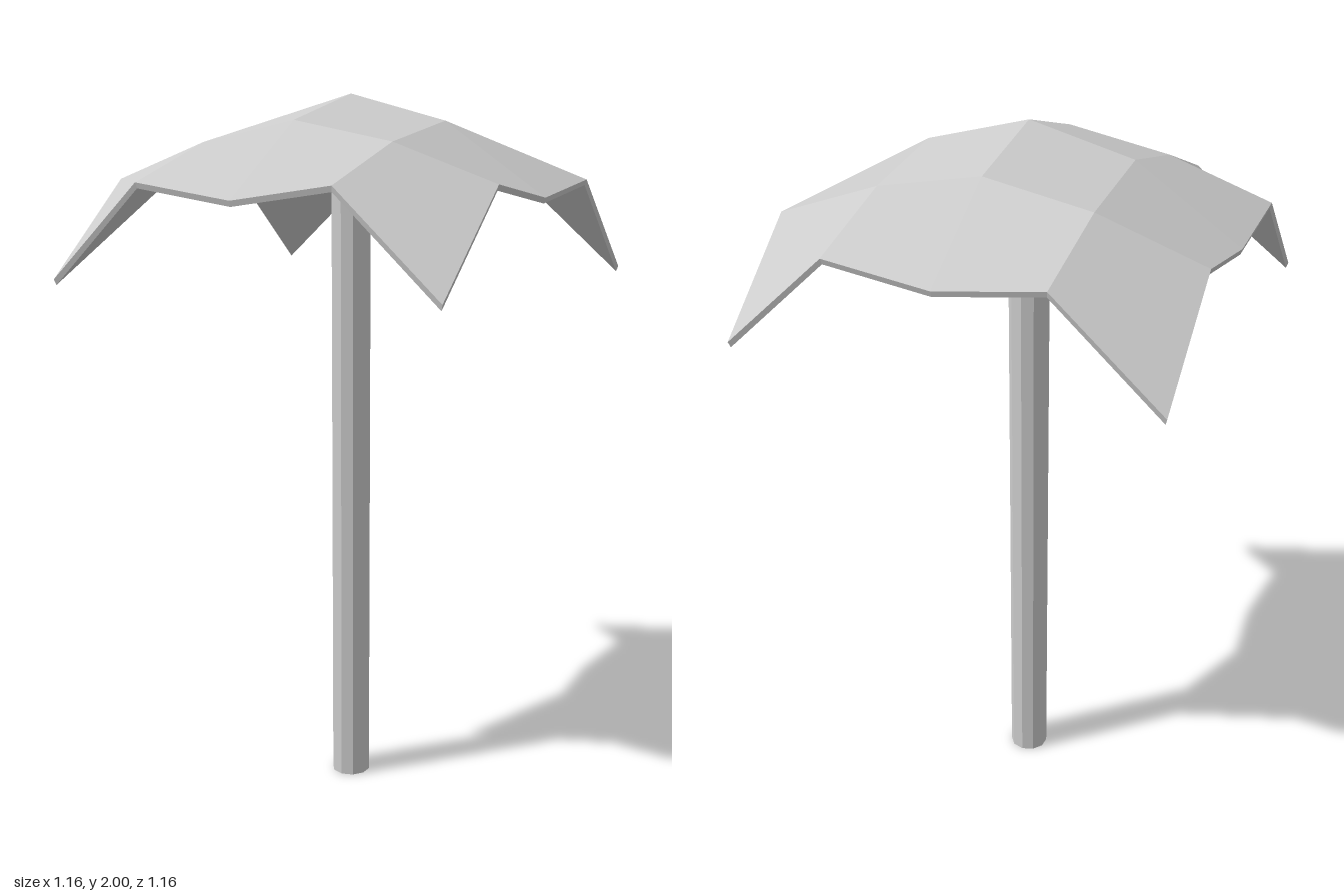
import * as THREE from 'three';

const material = new THREE.MeshStandardMaterial({ color: 0xcccccc });
const flatMaterial = new THREE.MeshStandardMaterial({ color: 0xcccccc, flatShading: true });

// canopy heights by distance (in grid steps) from the centre along each axis
const HEIGHT = [
  [2.0, 1.925, 1.73],
  [1.925, 1.87, 1.77],
  [1.73, 1.77, 1.512],
];
const STEP = 0.29, THICKNESS = 0.015;

// grid point of the upper skin, or of the lower skin just beneath it
function point(i, j, lower) {
  const s = lower ? STEP * 0.992 : STEP;
  const y = HEIGHT[Math.abs(i)][Math.abs(j)] - (lower ? THICKNESS : 0);
  return new THREE.Vector3(i * s, y, j * s);
}

function canopyGeometry() {
  const positions = [], normals = [];
  // one facet: two triangles sharing a single flat normal, split along b-d
  const quad = (a, b, c, d) => {
    const n = c.clone().sub(a).cross(d.clone().sub(b)).normalize();
    for (const p of [a, b, d, b, c, d]) {
      positions.push(p.x, p.y, p.z);
      normals.push(n.x, n.y, n.z);
    }
  };

  // upper and lower skins
  for (let i = -2; i < 2; i++) {
    for (let j = -2; j < 2; j++) {
      quad(point(i, j), point(i, j + 1), point(i + 1, j + 1), point(i + 1, j));
      quad(point(i + 1, j + 1, true), point(i, j + 1, true), point(i, j, true), point(i + 1, j, true));
    }
  }

  // thin rim on all four sides
  const rim = (i0, j0, i1, j1) =>
    quad(point(i0, j0), point(i0, j0, true), point(i1, j1, true), point(i1, j1));
  for (let k = -2; k < 2; k++) {
    rim(k, 2, k + 1, 2);
    rim(-k, -2, -k - 1, -2);
    rim(2, -k, 2, -k - 1);
    rim(-2, k, -2, k + 1);
  }

  const geometry = new THREE.BufferGeometry();
  geometry.setAttribute('position', new THREE.Float32BufferAttribute(positions, 3));
  geometry.setAttribute('normal', new THREE.Float32BufferAttribute(normals, 3));
  return geometry;
}

export function createModel() {
  const model = new THREE.Group();
  model.name = 'parasol';

  // drooping square canopy
  const canopy = new THREE.Mesh(canopyGeometry(), material);
  canopy.name = 'canopy';
  model.add(canopy);

  // ten-sided pole reaching up to the canopy
  const poleHeight = 1.975;
  const pole = new THREE.Mesh(new THREE.CylinderGeometry(0.056, 0.056, poleHeight, 10), flatMaterial);
  pole.name = 'pole';
  pole.position.y = poleHeight / 2;
  model.add(pole);

  return model;
}
